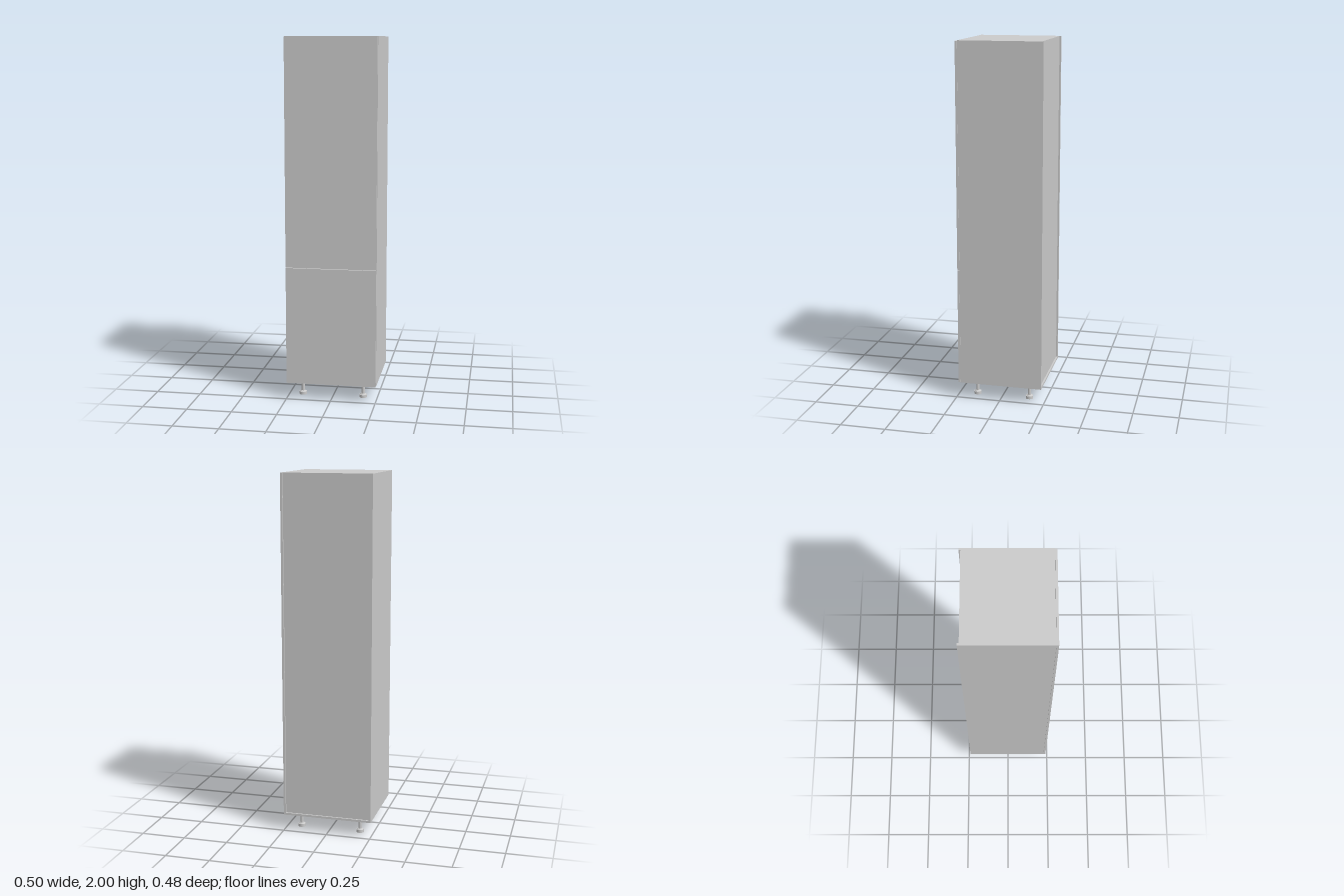
import * as THREE from 'three';

const material = new THREE.MeshStandardMaterial({ color: 0xcccccc });

// Box given by its lower and upper limits on each axis
function panel(name, [x0, x1], [y0, y1], [z0, z1]) {
  const geometry = new THREE.BoxGeometry(x1 - x0, y1 - y0, z1 - z0);
  const mesh = new THREE.Mesh(geometry, material);
  mesh.position.set((x0 + x1) / 2, (y0 + y1) / 2, (z0 + z1) / 2);
  mesh.name = name;
  return mesh;
}

function disc(name, radiusTop, radiusBottom, y0, y1) {
  const geometry = new THREE.CylinderGeometry(radiusTop, radiusBottom, y1 - y0, 24);
  const mesh = new THREE.Mesh(geometry, material);
  mesh.position.y = (y0 + y1) / 2;
  mesh.name = name;
  return mesh;
}

// Adjustable leg: foot, stem and mounting flange
function createLeg(name, x, z) {
  const leg = new THREE.Group();
  leg.name = name;
  leg.add(
    disc('foot', 0.021, 0.021, 0, 0.016),
    disc('footCollar', 0.012, 0.018, 0.016, 0.022),
    disc('stem', 0.0095, 0.0095, 0.02, 0.08),
    disc('mountingFlange', 0.022, 0.022, 0.077, 0.09)
  );
  leg.position.set(x, 0, z);
  return leg;
}

export function createModel() {
  const cabinet = new THREE.Group();
  cabinet.name = 'tallCabinet';

  const bottom = 0.09, top = 2, split = 0.748, thick = 0.012;
  const outer = 0.252, inner = outer - thick;
  const back = -0.238, recess = -0.229, front = 0.225;
  const across = [-inner, inner];

  // Carcass: sides and floor reach past the recessed back and top
  cabinet.add(
    panel('leftSide', [inner, outer], [bottom, top], [back, front]),
    panel('rightSide', [-outer, -inner], [bottom, top], [back, front]),
    panel('floorPanel', across, [bottom, bottom + thick], [back, front]),
    panel('topPanel', across, [top - thick, top], [recess, front]),
    panel('dividerShelf', across, [split - thick / 2, split + thick / 2], [recess + 0.004, front]),
    panel('backPanel', across, [bottom + thick, top - thick], [recess, recess + 0.004])
  );

  // Doors, with a narrow gap between them and around the edge
  const doorWidth = [-0.2505, 0.2505], doorDepth = [front + 0.001, 0.238];
  cabinet.add(
    panel('lowerDoor', doorWidth, [bottom, split - 0.0015], doorDepth),
    panel('upperDoor', doorWidth, [split + 0.0015, top - 0.003], doorDepth)
  );

  // Four legs
  for (const [side, x] of [['Left', 0.17], ['Right', -0.173]]) {
    cabinet.add(createLeg(`front${side}Leg`, x, 0.147));
    cabinet.add(createLeg(`back${side}Leg`, x, -0.155));
  }
  return cabinet;
}
